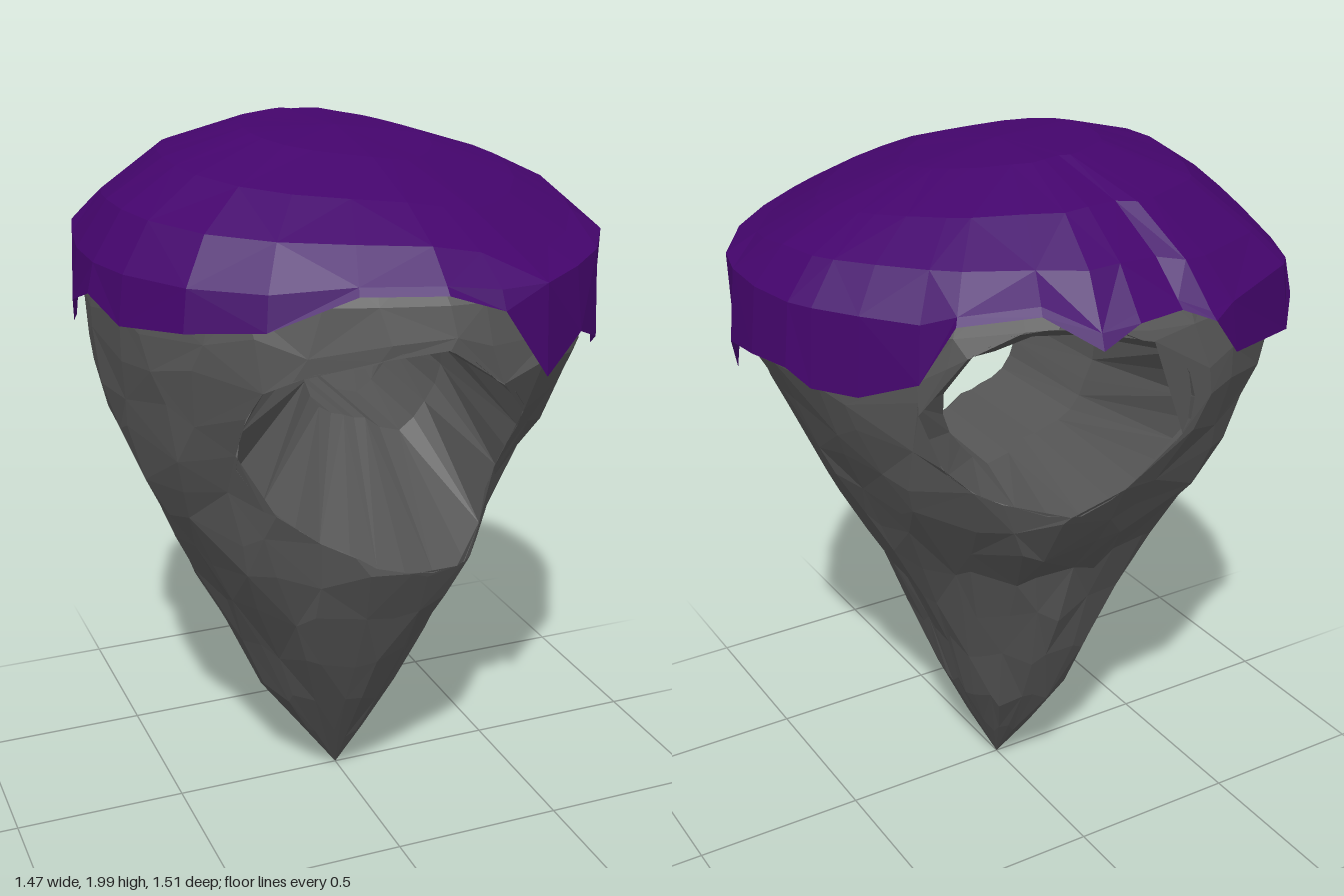
import * as THREE from 'three';

const RAD = Math.PI / 180;

// ragged cap rim: [angle from front towards +x, radius, height of lower edge]
const RIM = [
  [0, .74, 1.70], [11, .765, 1.65], [21, .79, 1.46], [35, .755, 1.53], [50, .745, 1.46],
  [68, .75, 1.37], [78, .745, 1.50], [90, .735, 1.52], [102, .725, 1.53], [108, .71, 1.49],
  [119, .685, 1.49], [133, .68, 1.55], [141, .685, 1.71], [158, .695, 1.74], [169, .75, 1.66],
  [177, .735, 1.71], [188, .72, 1.71], [193, .775, 1.68], [200, .775, 1.57], [224, .80, 1.52],
  [228, .80, 1.60], [240, .77, 1.42], [252, .74, 1.45], [266, .735, 1.56], [279, .74, 1.62],
  [291, .74, 1.57], [308, .735, 1.59], [325, .715, 1.61], [343, .70, 1.70],
];

// rock profile: [height, radius at front, +x, back, -x]
const PROFILE = [
  [0, 0, 0, 0, 0], [.3, .2, .15, .21, .22], [.6, .38, .23, .33, .36], [.85, .5, .37, .39, .49],
  [1.05, .54, .47, .56, .58], [1.2, .62, .55, .63, .64], [1.45, .71, .67, .71, .69],
  [1.62, .7, .69, .71, .7], [1.75, .65, .64, .66, .64],
];

// tunnel openings: centre and radius every 30 degrees
const FRONT = { x: 0, y: 1.2, r: [.28, .31, .30, .36, .36, .48, .44, .34, .30, .33, .41, .31] };
const THROAT = { x: .03, y: 1.32, r: [.23, .24, .17, .2, .2, .24, .18, .16, .13, .13, .21, .21] };
const BACK = { x: .1, y: 1.47, r: [.38, .32, .25, .21, .2, .24, .25, .27, .28, .33, .33, .37] };

const lerp = THREE.MathUtils.lerp;
const mod = (a, n) => ((a % n) + n) % n;

function openingRadius(o, angle) {
  const k = mod(angle / (30 * RAD), 12), i = Math.floor(k) % 12;
  return lerp(o.r[i], o.r[(i + 1) % 12], k - Math.floor(k));
}

function rimRadius(phi) {
  const d = mod(phi / RAD, 360);
  let i = RIM.length - 1;
  while (RIM[i][0] > d) i--;
  const a = RIM[i], b = RIM[i + 1] || [360, RIM[0][1]];
  return lerp(a[1], b[1], (d - a[0]) / (b[0] - a[0]));
}

// radius of the rock at an angle and height, with soft lumps
function rockRadius(phi, y) {
  let i = 0;
  while (i < PROFILE.length - 2 && PROFILE[i + 1][0] < y) i++;
  const a = PROFILE[i], b = PROFILE[i + 1], t = (y - a[0]) / (b[0] - a[0]);
  const q = mod(phi / (Math.PI / 2), 4), k = Math.floor(q) % 4, f = q - Math.floor(q);
  const s = f * f * (3 - 2 * f);
  const at = (j) => lerp(a[j + 1], b[j + 1], t);
  const top = THREE.MathUtils.smoothstep(y, 1.1, 1.55);
  const lump = .025 * Math.sin(5 * phi + 7 * y) + .02 * Math.sin(9 * phi - 11 * y);
  return lerp(at(k), at((k + 1) % 4), s) * (1 + lump * (1 - top)) * lerp(1, rimRadius(phi) / .74, top);
}

const polar = (phi, r, y) => new THREE.Vector3(Math.sin(phi) * r, y, Math.cos(phi) * r);

// point of the tilted dome at fraction t of the rim
function onDome(phi, t) {
  const p = polar(phi, rimRadius(phi) * t, 0);
  p.y = 1.985 - .25 * t ** 2.5 - .1 * (p.x + p.z) * (1 - t * t) - .25 * Math.max(0, p.x * p.z);
  return p;
}

// point of the rock surface at x, y on the front (side 1) or back (side -1)
function onRock(x, y, side) {
  let phi = 0;
  for (let n = 0; n < 12; n++) {
    const a = Math.asin(THREE.MathUtils.clamp(x / rockRadius(phi, y), -1, 1));
    phi = side > 0 ? a : Math.PI - a;
  }
  return polar(phi, rockRadius(phi, y), y);
}

// faceted skin over closed loops of points; triangles wholly marked as cut are left out
function skin(loops) {
  const pos = [];
  const tri = (...p) => {
    if (!p.every((v) => v.cut)) p.forEach((v) => pos.push(v.x, v.y, v.z));
  };
  for (let j = 0; j + 1 < loops.length; j++) {
    const lo = loops[j], hi = loops[j + 1], n = lo.length;
    for (let i = 0; i < n; i++) {
      const k = (i + 1) % n;
      if ((i + j) % 2) {
        tri(lo[i], lo[k], hi[k]);
        tri(lo[i], hi[k], hi[i]);
      } else {
        tri(lo[i], lo[k], hi[i]);
        tri(lo[k], hi[k], hi[i]);
      }
    }
  }
  const g = new THREE.BufferGeometry();
  g.setAttribute('position', new THREE.Float32BufferAttribute(pos, 3));
  g.computeVertexNormals();
  return g;
}

function rockGeometry() {
  const cols = 28, loops = [];
  const heights = [0, .16, .33, .52, .7, .85, .98, 1.1, 1.22, 1.34, 1.46, 1.56, 1.66];
  heights.forEach((h, j) => {
    loops.push(Array.from({ length: cols }, (_, i) => {
      const inner = j > 0 && j < heights.length - 1;
      const y = h + (inner ? .025 * Math.sin(i * 2.3 + j * 4.1) : 0);
      const phi = (i + .25 * Math.sin(i * 3.7 + j * 5.3)) / cols * 2 * Math.PI;
      const p = polar(phi, rockRadius(phi, y), y);
      // move points inside an opening out to its edge
      const o = p.z > 0 ? FRONT : BACK;
      const a = Math.atan2(p.y - o.y, p.x - o.x), r = openingRadius(o, a);
      if (Math.hypot(p.x - o.x, p.y - o.y) < r) {
        const q = onRock(o.x + r * Math.cos(a), o.y + r * Math.sin(a), Math.sign(p.z));
        q.cut = true;
        return q;
      }
      return p;
    }));
  });
  // rounded top lying just beneath the cap
  for (const t of [.84, .63, .34, 0]) {
    loops.push(Array.from({ length: cols }, (_, i) => {
      const p = onDome(i / cols * 2 * Math.PI, t);
      p.y -= .03;
      return p;
    }));
  }
  return skin(loops);
}

function tunnelGeometry() {
  const loop = (o, place) => Array.from({ length: 24 }, (_, i) => {
    const a = i * 15 * RAD, r = openingRadius(o, a);
    return place(o.x + r * Math.cos(a), o.y + r * Math.sin(a));
  });
  return skin([
    loop(FRONT, (x, y) => onRock(x, y, 1)),
    loop(THROAT, (x, y) => new THREE.Vector3(x, y, .15)),
    loop(THROAT, (x, y) => new THREE.Vector3(x * 1.1, y, -.2)),
    loop(BACK, (x, y) => onRock(x, y, -1)),
  ]);
}

function capGeometry() {
  // hanging edge whose lowest tips lean in, shoulder, then rings of the dome
  const edge = RIM.map(([d, r, y]) => polar(d * RAD, r * (1 - .3 * Math.max(0, 1.5 - y)), y));
  const shoulder = RIM.map(([d, r, y]) => polar(d * RAD, r * .975, Math.max(1.7, y + .02)));
  const rings = [.86, .65, .35, 0].map((t) => RIM.map(([d]) => onDome(d * RAD, t)));
  return skin([edge, shoulder, ...rings]);
}

export function createModel() {
  const group = new THREE.Group();
  const add = (name, geometry, color) => {
    const material = new THREE.MeshStandardMaterial({ color, flatShading: true, side: THREE.DoubleSide });
    const mesh = new THREE.Mesh(geometry, material);
    mesh.name = name;
    group.add(mesh);
  };
  add('rock', rockGeometry(), 0x555555);
  add('tunnel', tunnelGeometry(), 0x555555);
  add('cap', capGeometry(), 0x44056c);
  return group;
}
